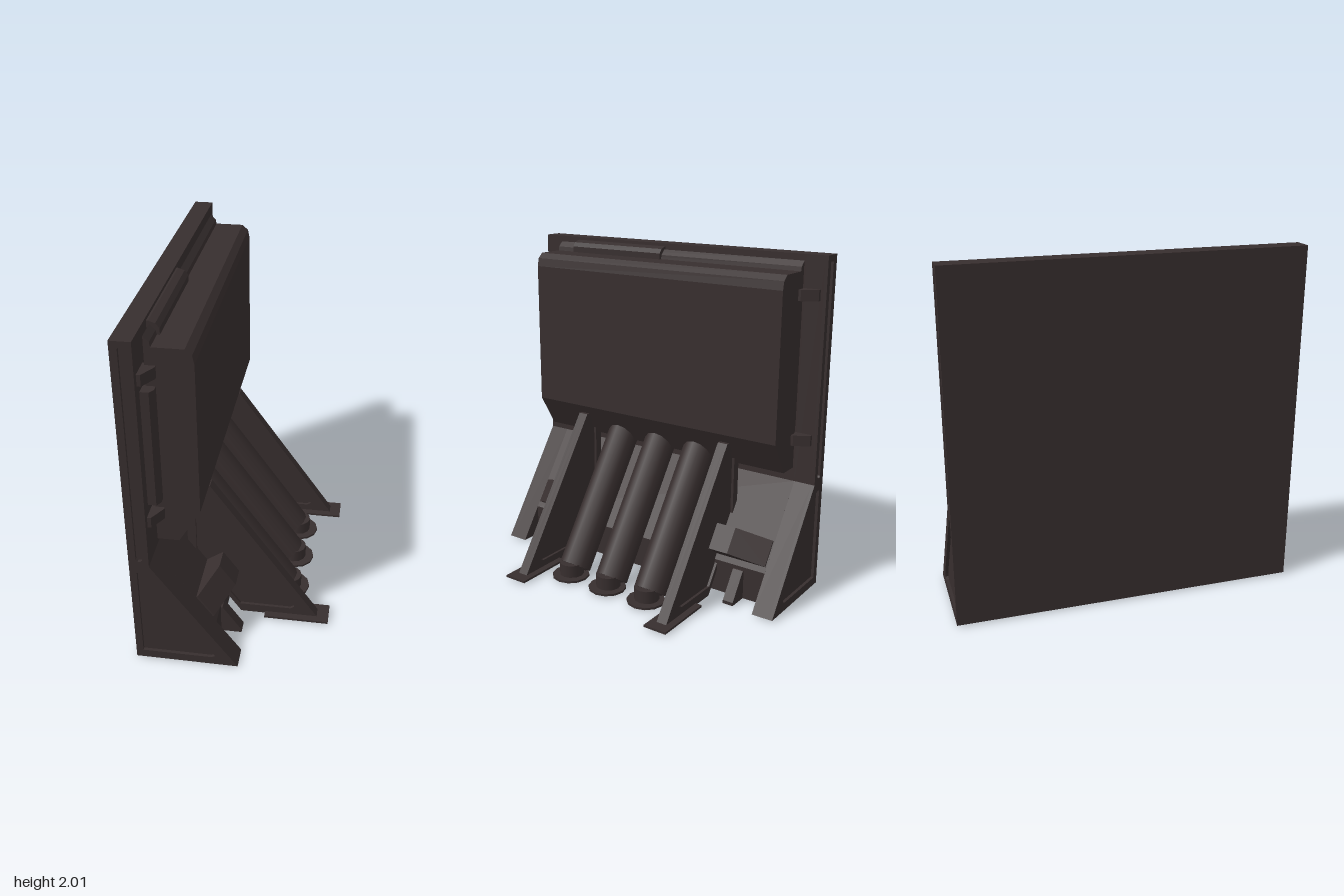
import * as THREE from 'three';

const darkBrown = new THREE.MeshStandardMaterial({ color: 0x372e2e });
darkBrown.name = 'darkBrown';

export function createModel() {
  const model = new THREE.Group();
  model.name = 'bracedWallPanel';

  const add = (name, geometry) => {
    const mesh = new THREE.Mesh(geometry, darkBrown);
    mesh.name = name;
    model.add(mesh);
    return mesh;
  };
  const toPoints = (pts) => pts.map(([x, y]) => new THREE.Vector2(x, y));
  // Extrude an x-y outline between two z positions
  const slab = (name, pts, z0, z1, holes = []) => {
    const shape = new THREE.Shape(toPoints(pts));
    holes.forEach((h) => shape.holes.push(new THREE.Path(toPoints(h))));
    const g = new THREE.ExtrudeGeometry(shape, { depth: z1 - z0, bevelEnabled: false });
    g.translate(0, 0, z0);
    return add(name, g);
  };
  // Same, mirrored to both sides of the model
  const slabPair = (name, pts, z0, z1, holes) => {
    slab(name + 'Left', pts, z0, z1, holes);
    slab(name + 'Right', pts, -z1, -z0, holes);
  };
  const box = (name, x0, x1, y0, y1, z0, z1) => {
    const g = new THREE.BoxGeometry(x1 - x0, y1 - y0, z1 - z0);
    g.translate((x0 + x1) / 2, (y0 + y1) / 2, (z0 + z1) / 2);
    return add(name, g);
  };

  // Upright panel with a sloping base, cut off short between the end walls
  const wall = [[-0.53, 0], [0.05, 0], [-0.42, 0.67], [-0.42, 2], [-0.53, 2]];
  slab('panelCore', [[-0.53, 0], [-0.09, 0], [-0.09, 0.2], [-0.42, 0.67], [-0.42, 2], [-0.53, 2]], -0.87, 0.87);
  slabPair('endWall', wall, 0.87, 0.982);
  // Raised rims leave a sunken strip and a sunken triangle on each end
  slabPair('endRim', wall, 0.982, 1, [
    [[-0.49, 0.71], [-0.48, 0.7], [-0.465, 0.7], [-0.455, 0.71], [-0.455, 1.96], [-0.465, 1.975], [-0.48, 1.975], [-0.49, 1.96]],
    [[-0.49, 0.05], [-0.1, 0.05], [-0.08, 0.06], [-0.085, 0.085], [-0.445, 0.61], [-0.465, 0.62], [-0.49, 0.62]],
  ]);

  // Small ribs in the base recess
  for (const z of [-0.7, -0.143, 0.143, 0.7]) {
    slab('baseRib', [[-0.1, 0], [0.03, 0], [0.03, 0.02], [-0.08, 0.18], [-0.1, 0.18]], z - 0.033, z + 0.033);
  }

  // Main housing, standing slightly off the panel
  slab('housing', [
    [-0.4, 0.76], [-0.28, 0.76], [-0.16, 0.96], [-0.16, 1.83], [-0.17, 1.88], [-0.205, 1.91],
    [-0.37, 1.91], [-0.375, 1.935], [-0.405, 1.965], [-0.405, 1.03], [-0.4, 1.0],
  ], -0.865, 0.865);
  slab('topBar', [
    [-0.43, 1.9], [-0.355, 1.9], [-0.355, 1.945], [-0.375, 1.97], [-0.41, 1.982], [-0.43, 1.982],
  ], 0.06, 0.73);

  // Upright bar on the left end of the housing
  const bar = new THREE.ExtrudeGeometry(new THREE.Shape(toPoints([
    [-0.43, -0.85], [-0.355, -0.85], [-0.355, -0.9], [-0.375, -0.93], [-0.43, -0.93],
  ])), { depth: 0.67, bevelEnabled: false });
  bar.rotateX(-Math.PI / 2).translate(0, 1.03, 0);
  add('sideBar', bar);

  // Tapered clips joining housing and panel
  for (const s of [1, -1]) {
    for (const y of [0.91, 1.75]) {
      const g = new THREE.ExtrudeGeometry(new THREE.Shape(toPoints([
        [-0.43, -0.84 * s], [-0.35, -0.84 * s], [-0.35, -0.88 * s], [-0.4, -0.965 * s], [-0.43, -0.965 * s],
      ])), { depth: 0.063, bevelEnabled: false });
      g.rotateX(-Math.PI / 2).translate(0, y, 0);
      add('clip', g);
    }
  }

  // Triangular fins with sunken faces, standing on foot plates
  const fin = [[-0.31, 0.45], [0, 0], [0.465, 0], [-0.17, 0.905], [-0.31, 0.905]];
  const finHole = [
    [-0.26, 0.42], [-0.005, 0.055], [0.295, 0.055], [0.32, 0.07], [0.315, 0.1],
    [-0.19, 0.83], [-0.21, 0.845], [-0.26, 0.845],
  ];
  slabPair('fin', fin, 0.504, 0.536);
  slabPair('finOuterRim', fin, 0.536, 0.552, [finHole]);
  slabPair('finInnerRim', fin, 0.488, 0.504, [finHole]);
  for (const s of [1, -1]) {
    box('footPlate', 0.145, 0.525, 0, 0.013, s * 0.52 - 0.073, s * 0.52 + 0.073);
  }

  // Wedge-ended blocks lying on the slope outside the fins
  const normal = new THREE.Vector3(0.819, 0.574, 0);
  const upSlope = new THREE.Vector3(-0.574, 0.819, 0);
  for (const s of [1, -1]) {
    const g = new THREE.ExtrudeGeometry(new THREE.Shape(toPoints([
      [0.52 * s, -0.02], [0.862 * s, -0.02], [0.862 * s, 0.005], [0.66 * s, 0.115], [0.52 * s, 0.115],
    ])), { depth: 0.16, bevelEnabled: false });
    g.applyMatrix4(new THREE.Matrix4()
      .makeBasis(new THREE.Vector3(0, 0, 1), normal, upSlope)
      .setPosition(-0.108, 0.232, 0));
    add('slopeBlock', g);
  }

  // Three slanted pipes with narrower ends and round feet
  const pipe = (name, r, from, to) => {
    const dir = to.clone().sub(from);
    const g = new THREE.CylinderGeometry(r, r, dir.length(), 12);
    const m = add(name, g);
    m.position.copy(from).add(to).multiplyScalar(0.5);
    m.quaternion.setFromUnitVectors(new THREE.Vector3(0, 1, 0), dir.normalize());
  };
  for (const z of [-0.285, 0, 0.285]) {
    const top = new THREE.Vector3(-0.325, 0.835, z);
    const collar = new THREE.Vector3(0.227, 0.047, z);
    pipe('pipe', 0.098, collar, top);
    pipe('pipeEnd', 0.075, new THREE.Vector3(0.232, 0.044, z), new THREE.Vector3(0.15, 0.157, z));
    // Upright stub between the pipe and its foot
    const stub = new THREE.CylinderGeometry(0.075, 0.075, 0.09, 12);
    stub.translate(0.26, 0.045, z);
    add('pipeStub', stub);
    const foot = new THREE.CylinderGeometry(0.115, 0.115, 0.013, 12);
    foot.translate(0.27, 0.0065, z);
    add('pipeFoot', foot);
  }
  return model;
}
